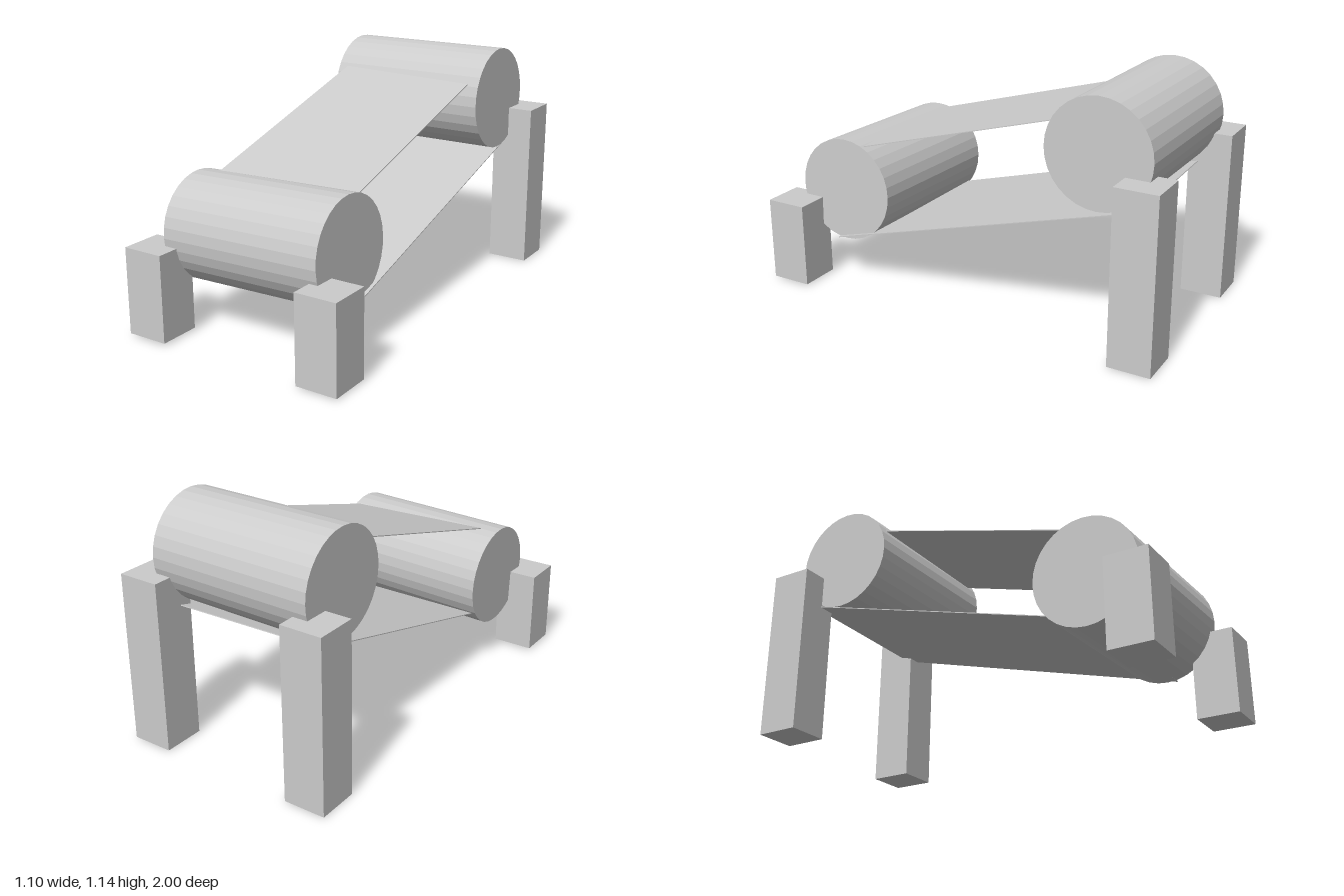
import * as THREE from 'three';

const V = (x, y, z) => new THREE.Vector3(x, y, z);

export function createModel() {
  const model = new THREE.Group();
  model.name = 'beltConveyor';
  const material = new THREE.MeshStandardMaterial({ color: 0xcccccc, flatShading: true });

  const add = (name, geometry) => {
    const mesh = new THREE.Mesh(geometry, material);
    mesh.name = name;
    model.add(mesh);
    return mesh;
  };

  // Square post: centre x and z, bottom and height
  const post = (name, x, z, bottom, height) =>
    add(name, new THREE.BoxGeometry(0.2, height, 0.2)).position.set(x, bottom + height / 2, z);

  // Roller between the centres of its two end discs
  const roller = (name, from, to) => {
    const axis = to.clone().sub(from);
    const mesh = add(name, new THREE.CylinderGeometry(0.25, 0.25, axis.length(), 32));
    mesh.position.copy(from).add(to).multiplyScalar(0.5);
    mesh.quaternion.setFromUnitVectors(V(0, 1, 0), axis.normalize());
  };

  // Thin sloping strip: middles of its front and back edges, sideways tilt
  const belt = (name, front, back, width, tilt) => {
    const along = front.clone().sub(back);
    const mesh = add(name, new THREE.BoxGeometry(width, 0.004, along.length()));
    along.normalize();
    const up = along.clone().cross(V(1, tilt, 0)).normalize();
    const side = up.clone().cross(along);
    mesh.quaternion.setFromRotationMatrix(new THREE.Matrix4().makeBasis(side, up, along));
    mesh.position.copy(front).add(back).multiplyScalar(0.5);
  };

  // Short posts in front, tall posts behind
  post('frontLegRight', -0.454, 0.9, 0.01, 0.407);
  post('frontLegLeft', 0.45, 0.9, 0.006, 0.406);
  post('backLegRight', -0.425, -0.9, 0, 0.812);
  post('backLegLeft', 0.435, -0.896, 0.002, 0.81);

  // Slightly skewed rollers
  roller('frontRoller', V(-0.417, 0.455, 0.648), V(0.393, 0.479, 0.657));
  roller('backRoller', V(-0.4, 0.883, -0.678), V(0.411, 0.887, -0.67));

  // Belt runs ending inside the rollers
  belt('upperBelt', V(0.02, 0.67, 0.7), V(-0.007, 1.066, -0.7), 0.704, -0.016);
  belt('lowerBelt', V(0.018, 0.234, 0.7), V(-0.005, 0.665, -0.85), 0.802, -0.009);

  return model;
}
